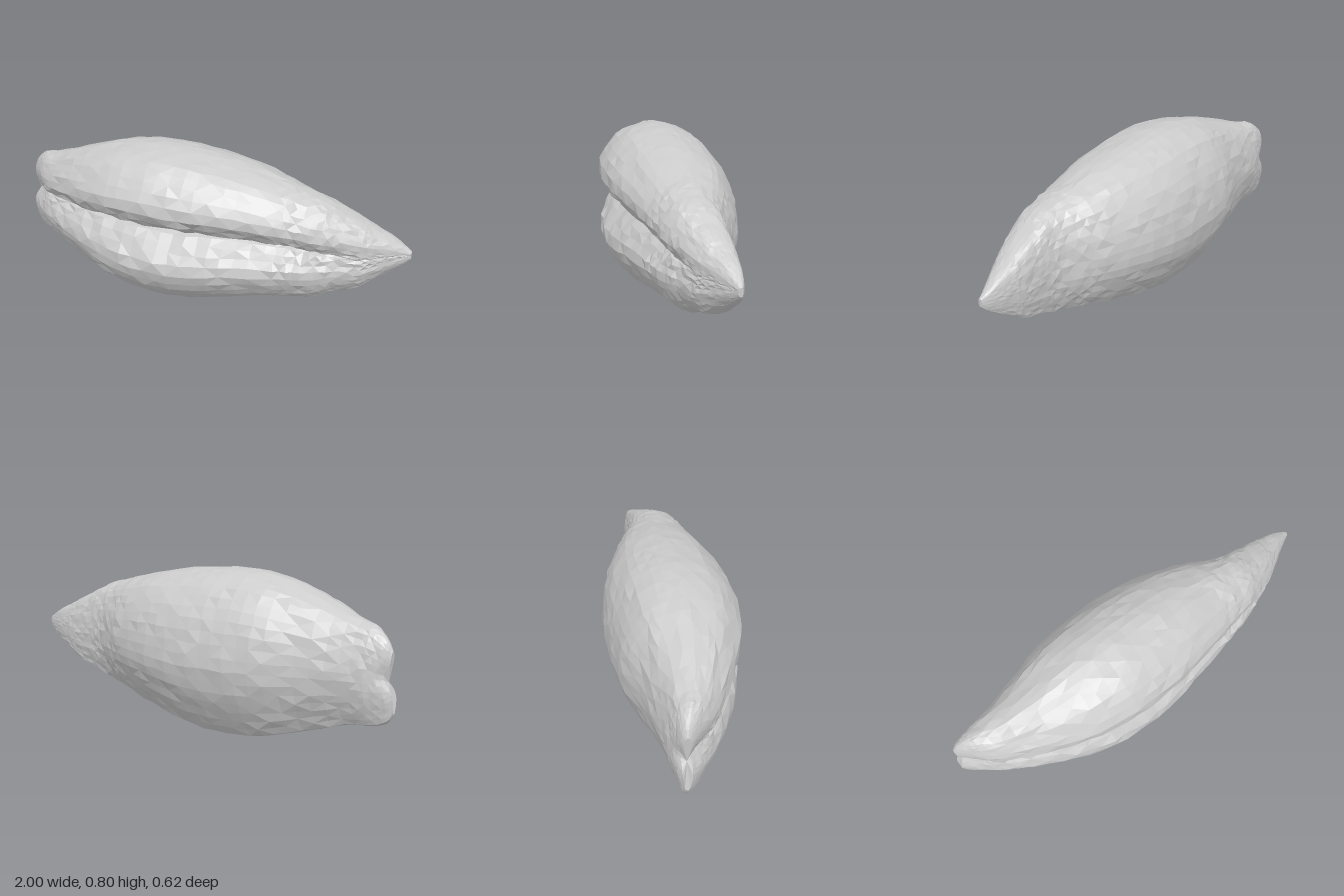
import * as THREE from 'three';

// Hull stations along the grain: [x, bottom, top, back, front]
const STATIONS = [
  [-1, .25, .53, -.085, -.04], [-.97, .205, .575, -.105, -.01], [-.9, .175, .62, -.125, .045],
  [-.8, .16, .645, -.15, .11], [-.6, .09, .72, -.2, .21], [-.4, .03, .78, -.275, .28],
  [-.2, .003, .803, -.3, .305], [0, .015, .79, -.308, .295], [.2, .065, .76, -.285, .26],
  [.4, .11, .71, -.225, .21], [.5, .13, .685, -.175, .185], [.6, .155, .655, -.13, .16],
  [.68, .195, .615, -.115, .125], [.78, .225, .565, -.112, .08], [.84, .27, .53, -.108, .045],
  [.91, .32, .495, -.098, 0], [.97, .365, .455, -.083, -.035], [1, .395, .435, -.07, -.05],
];

// Kidney cross-section, normalised: [depth, height], starting at the crease floor
const SECTION = [
  [.52, .1], [.74, .14], [.82, .2], [.93, .29], [1, .42], [.94, .6], [.64, .86], [.33, .96], [0, 1],
  [-.3, .95], [-.6, .82], [-.87, .5], [-1, .08], [-.97, -.25], [-.78, -.6], [-.52, -.91], [-.4, -.95],
  [.12, -1], [.62, -.83], [.91, -.55], [1, -.31], [.9, -.16], [.78, -.03], [.7, .05],
];

const RINGS = 54, SIDES = 48;

function seeded(seed) {
  return () => {
    seed = (seed * 16807) % 2147483647;
    return seed / 2147483647 - 0.5;
  };
}

function grainGeometry() {
  const rnd = seeded(77);
  const heights = new THREE.CatmullRomCurve3(
    STATIONS.map(([x, b, t]) => new THREE.Vector3(x, b, t)), false, 'catmullrom', 0.5);
  const depths = new THREE.CatmullRomCurve3(
    STATIONS.map(([x, , , b, f]) => new THREE.Vector3(x, b, f)), false, 'catmullrom', 0.5);
  const section = new THREE.CatmullRomCurve3(
    SECTION.map(([u, v]) => new THREE.Vector3(u, v, 0)), true, 'catmullrom', 0.5).getSpacedPoints(SIDES);

  const pos = [], index = [];
  for (let i = 0; i <= RINGS; i++) {
    const h = heights.getPoint(i / RINGS), d = depths.getPoint(i / RINGS);
    const x = h.x, hy = (h.z - h.y) / 2, hz = (d.z - d.y) / 2;
    const fade = THREE.MathUtils.smoothstep(x, 0.5, 0.9);
    const germ = THREE.MathUtils.smoothstep(x, 0.5, 0.68);
    const blunt = 1 - THREE.MathUtils.smoothstep(x, -1, -0.85);
    for (let j = 0; j < SIDES; j++) {
      let { x: u, y: v } = section[j];
      const inCrease = u > 0 && v > -0.25 && v < 0.35;
      // the crease dies out towards the germ end
      if (inCrease) u += (1 - u) * fade;
      // the germ end has a flatter back
      if (u < 0) u += (-Math.pow(-u, 0.5) - u) * germ;
      // the blunt end is notched, with its upper lobe set back
      const notch = 0.035 * Math.exp(-(((v - 0.1) / 0.35) ** 2)) + 0.018 * THREE.MathUtils.smoothstep(v, -0.2, 0.4);
      const rough = 0.009 * Math.min(1, hz / 0.15);
      pos.push(
        x + blunt * notch + rnd() * rough * (1 - blunt),
        (h.y + h.z) / 2 + v * hy + rnd() * rough * 0.7,
        (d.y + d.z) / 2 + u * hz + rnd() * rough * (inCrease ? 2 : 1));
    }
  }
  for (let i = 0; i < RINGS; i++) {
    for (let j = 0; j < SIDES; j++) {
      const k = (j + 1) % SIDES;
      const a = i * SIDES + j, b = a + SIDES, c = i * SIDES + k, e = c + SIDES;
      // alternate the diagonals for an irregular faceted skin
      if ((i + j) % 2) index.push(a, b, c, b, e, c);
      else index.push(a, b, e, a, e, c);
    }
  }
  // end caps
  [0, RINGS].forEach((ring) => {
    const [x, b, t, back, front] = STATIONS[ring ? STATIONS.length - 1 : 0];
    const centre = pos.length / 3;
    pos.push(ring ? x : x + 0.03, (b + t) / 2, (back + front) / 2);
    for (let j = 0; j < SIDES; j++) {
      const p = ring * SIDES + j, q = ring * SIDES + (j + 1) % SIDES;
      if (ring) index.push(centre, q, p);
      else index.push(centre, p, q);
    }
  });

  const geo = new THREE.BufferGeometry();
  geo.setAttribute('position', new THREE.Float32BufferAttribute(pos, 3));
  geo.setIndex(index);
  geo.computeVertexNormals();
  return geo;
}

export function createModel() {
  const group = new THREE.Group();
  group.name = 'grain';
  const material = new THREE.MeshStandardMaterial({ color: 0xcccccc, flatShading: true });
  const kernel = new THREE.Mesh(grainGeometry(), material);
  kernel.name = 'creasedKernel';
  group.add(kernel);
  return group;
}
